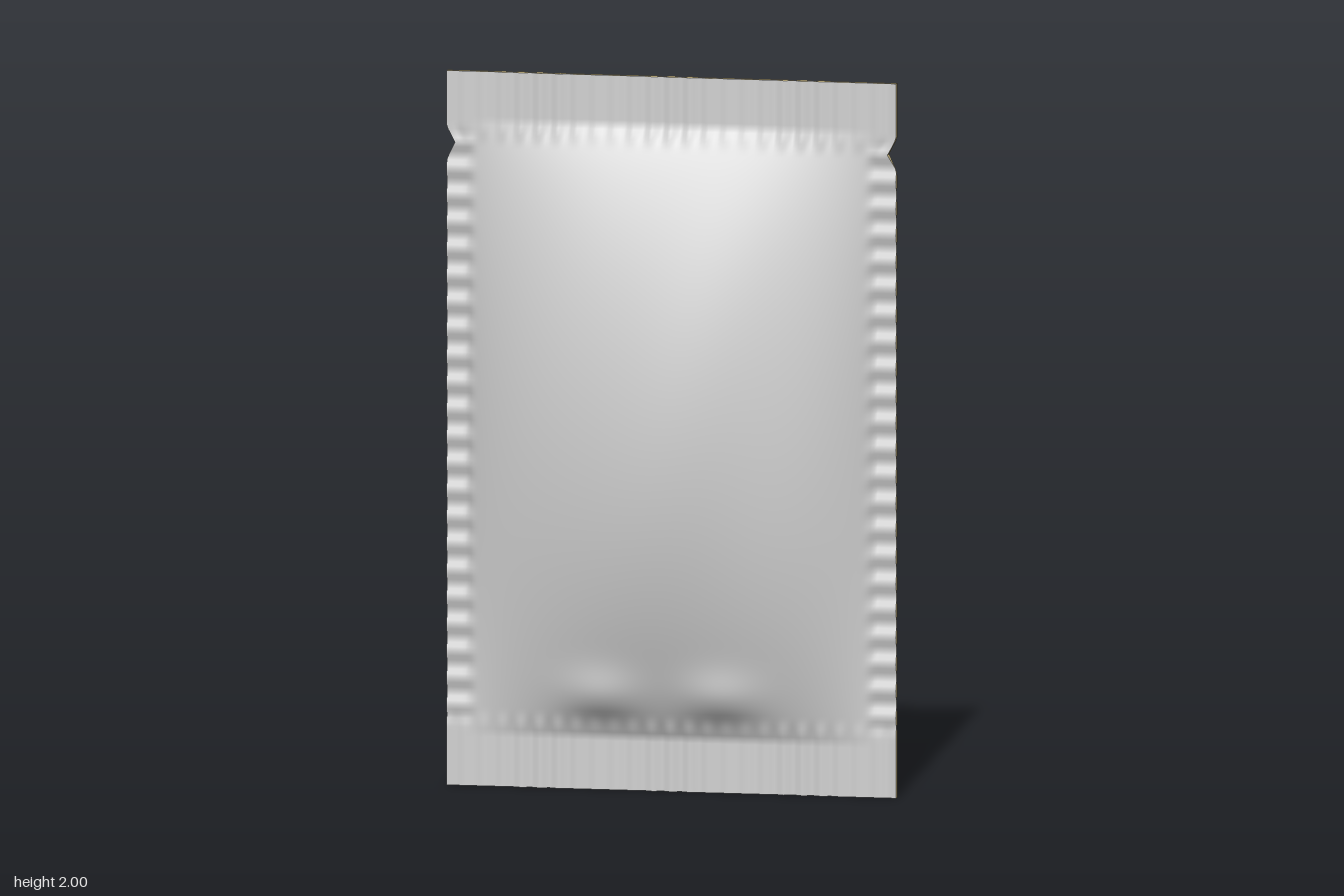
import * as THREE from 'three';

const W = 1.27, H = 2, COLS = 144, ROWS = 160;
const smooth = (a, b, v) => THREE.MathUtils.smoothstep(v, a, b);
const bump = (v, centre, width) => Math.exp(-(((v - centre) / width) ** 2));

// Half thickness of the pouch on one face: crimped seals plus the filled pillow
function halfThickness(x, y, front) {
  const u = x / 0.575, v = (y - 1.005) / 0.855;
  const ends = smooth(0.79, 0.84, Math.abs(y - 1.005));
  const sides = smooth(0.54, 0.58, Math.abs(x));
  const crimpX = 0.008 + 0.005 * Math.cos((x * 2 * Math.PI) / 0.053) * (0.7 + 0.3 * Math.cos(x * 17));
  const crimpY = 0.007 + 0.005 * Math.cos((y * 2 * Math.PI) / 0.075);
  const seal = THREE.MathUtils.lerp(0.006 + sides * (crimpY - 0.006), crimpX, ends);
  if (Math.abs(u) >= 1 || Math.abs(v) >= 1) return seal;

  const shape = (1 - u * u) ** 0.87 * (1 - v * v) ** 0.93;
  // Soft diagonal folds, stronger on the back
  const fold = front
    ? 0.004 * Math.cos((2 * Math.PI * (x - 0.25 * (y - 0.95))) / 0.5)
    : 0.008 * Math.cos((2 * Math.PI * (x + 0.1 + 0.27 * (y - 0.95))) / 0.36);
  // Puckers above the bottom seal
  const pucker = 0.022 * bump(y, 0.27, 0.07) * smooth(0.15, 0.24, y)
    * (bump(x, -0.19, 0.11) + bump(x, 0.15, 0.11));
  const pillow = shape * (0.193 + fold) + pucker;
  return pillow + THREE.MathUtils.lerp(seal, 0.006, smooth(0, 0.07, pillow));
}

// Point on a face, with a tear notch pulled in from each side edge
function facePoint(x, y, front) {
  const notch = 0.024 * Math.max(0, 1 - Math.abs(y - 1.8) / 0.045);
  const px = x - Math.sign(x) * notch * smooth(0.54, 0.635, Math.abs(x));
  return [px, y, (front ? 1 : -1) * halfThickness(x, y, front)];
}

function foilFace(front, material) {
  const geo = new THREE.PlaneGeometry(W, H, COLS, ROWS);
  if (!front) geo.rotateY(Math.PI);
  geo.translate(0, H / 2, 0);
  const pos = geo.attributes.position;
  for (let i = 0; i < pos.count; i++) {
    pos.setXYZ(i, ...facePoint(pos.getX(i), pos.getY(i), front));
  }
  geo.computeVertexNormals();
  const mesh = new THREE.Mesh(geo, material);
  mesh.name = front ? 'frontFoil' : 'backFoil';
  return mesh;
}

// Cut edge of the laminate, joining both faces all the way round
function cutEdge(material) {
  const rim = [];
  const x = W / 2;
  for (let i = 0; i < COLS; i++) rim.push([-x + (W * i) / COLS, 0]);
  for (let j = 0; j < ROWS; j++) rim.push([x, (H * j) / ROWS]);
  for (let i = 0; i < COLS; i++) rim.push([x - (W * i) / COLS, H]);
  for (let j = 0; j < ROWS; j++) rim.push([-x, H - (H * j) / ROWS]);
  const points = [];
  rim.forEach((a, i) => {
    const b = rim[(i + 1) % rim.length];
    const f0 = facePoint(...a, true), b0 = facePoint(...a, false);
    const f1 = facePoint(...b, true), b1 = facePoint(...b, false);
    points.push(...f0, ...b0, ...f1, ...f1, ...b0, ...b1);
  });
  const geo = new THREE.BufferGeometry();
  geo.setAttribute('position', new THREE.Float32BufferAttribute(points, 3));
  geo.computeVertexNormals();
  const mesh = new THREE.Mesh(geo, material);
  mesh.name = 'cutEdge';
  return mesh;
}

export function createModel() {
  const foil = new THREE.MeshStandardMaterial({ color: 0xd2d2d2 });
  foil.name = 'silver foil';
  const edge = new THREE.MeshStandardMaterial({ color: 0xd6c48e });
  edge.name = 'tan laminate edge';

  const pouch = new THREE.Group();
  pouch.name = 'pouch';
  pouch.add(foilFace(true, foil), foilFace(false, foil), cutEdge(edge));
  return pouch;
}
